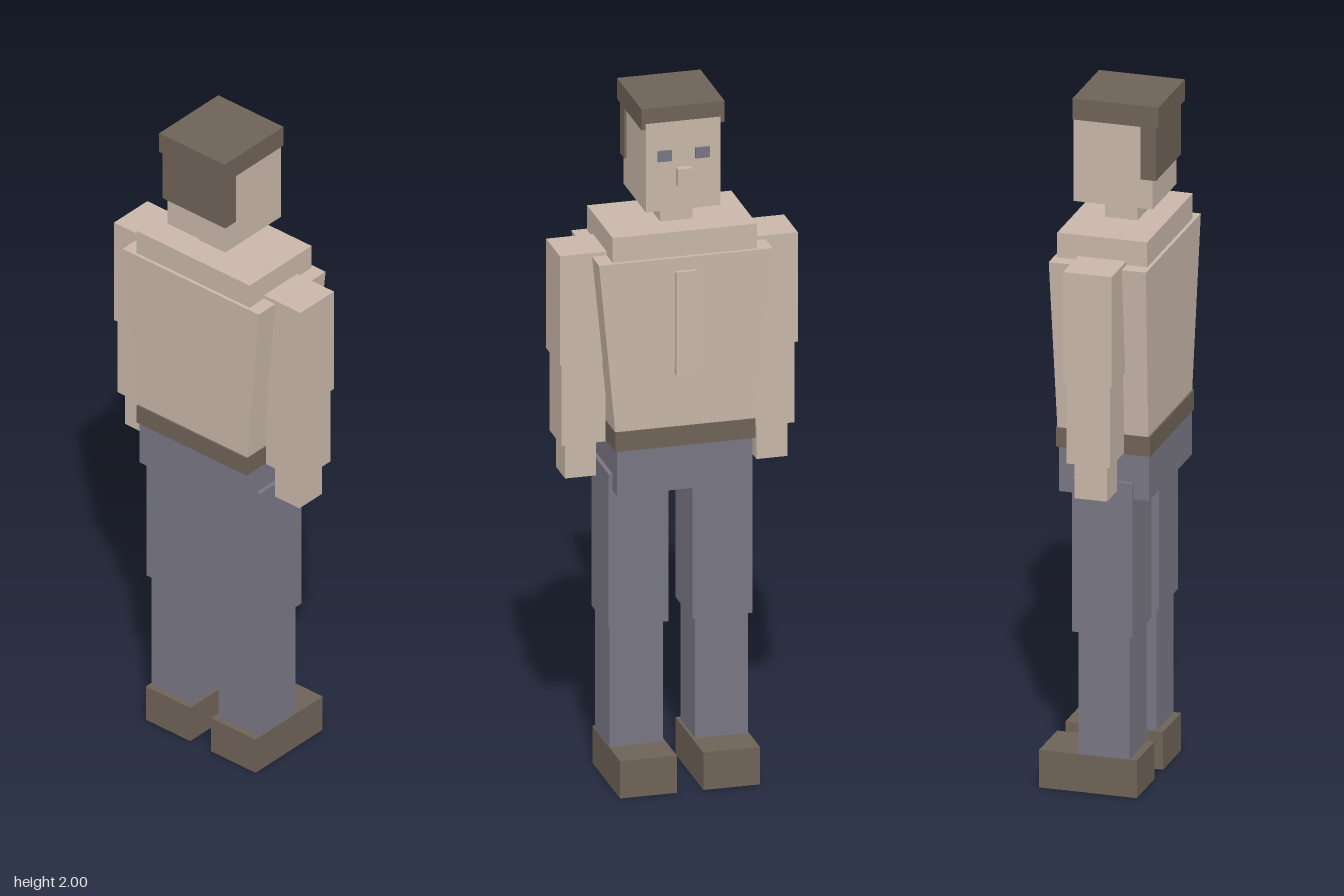
import * as THREE from 'three';

const mat = (name, color) => {
  const m = new THREE.MeshStandardMaterial({ color });
  m.name = name;
  return m;
};

export function createModel() {
  const skin = mat('warm beige', 0xc8b6a8);
  const brown = mat('dark brown', 0x6e6257);
  const slate = mat('slate grey', 0x787682);

  const figure = new THREE.Group();
  figure.name = 'blockFigure';

  // Box given by its [min, max] extent on each axis
  const block = (name, material, [x0, x1], [y0, y1], [z0, z1], parent = figure) => {
    const mesh = new THREE.Mesh(new THREE.BoxGeometry(x1 - x0, y1 - y0, z1 - z0), material);
    mesh.position.set((x0 + x1) / 2, (y0 + y1) / 2, (z0 + z1) / 2);
    mesh.name = name;
    parent.add(mesh);
    return mesh;
  };

  // Head, facing +x
  block('head', skin, [-0.137, 0.092], [1.695, 1.955], [-0.107, 0.107]);
  block('hairTop', brown, [-0.158, 0.09], [1.938, 2], [-0.119, 0.119]);
  block('hairBack', brown, [-0.149, -0.104], [1.782, 1.94], [-0.114, 0.114]);
  block('nose', skin, [0.08, 0.112], [1.77, 1.82], [-0.021, 0.021]);
  block('neck', skin, [-0.074, 0.02], [1.63, 1.7], [-0.046, 0.046]);

  // Torso, narrowing towards the waist
  block('shoulders', skin, [-0.153, 0.107], [1.54, 1.635], [-0.206, 0.206]);
  const torso = block('torso', skin, [-0.163, 0.118], [1.03, 1.562], [-0.248, 0.248]);
  const p = torso.geometry.attributes.position;
  for (let i = 0; i < p.count; i++) {
    if (p.getY(i) < 0) {
      p.setX(i, p.getX(i) * 0.93);
      p.setZ(i, p.getZ(i) * 0.79);
    }
  }
  torso.geometry.computeVertexNormals();
  block('shirtFrontStrip', skin, [0.09, 0.128], [1.218, 1.523], [-0.03, 0.03]);
  block('belt', brown, [-0.159, 0.113], [1.005, 1.062], [-0.2, 0.2]);
  block('hips', slate, [-0.154, 0.106], [0.873, 1.01], [-0.194, 0.194]);

  // Eyes, arms and legs, mirrored in z
  for (const s of [1, -1]) {
    const side = s > 0 ? 'right' : 'left';
    const z = (a, b) => (s > 0 ? [a, b] : [-b, -a]);

    block(side + 'Eye', slate, [0.091, 0.099], [1.842, 1.873], z(0.034, 0.074));

    const arm = new THREE.Group();
    arm.name = side + 'Arm';
    block('upperArm', skin, [-0.093, 0.047], [1.25, 1.573], z(0.2, 0.34), arm);
    block('forearm', skin, [-0.086, 0.04], [1.01, 1.25], z(0.208, 0.333), arm);
    block('hand', skin, [-0.073, 0.021], [0.905, 1.01], z(0.229, 0.318), arm);

    const leg = new THREE.Group();
    leg.name = side + 'Leg';
    block('thigh', slate, [-0.11, 0.064], [0.47, 0.922], z(0.034, 0.206), leg);
    block('shin', slate, [-0.1, 0.048], [0.1, 0.47], z(0.046, 0.198), leg);
    block('shoe', brown, [-0.121, 0.161], [0, 0.11], z(0.038, 0.2), leg);

    figure.add(arm, leg);
  }
  return figure;
}
